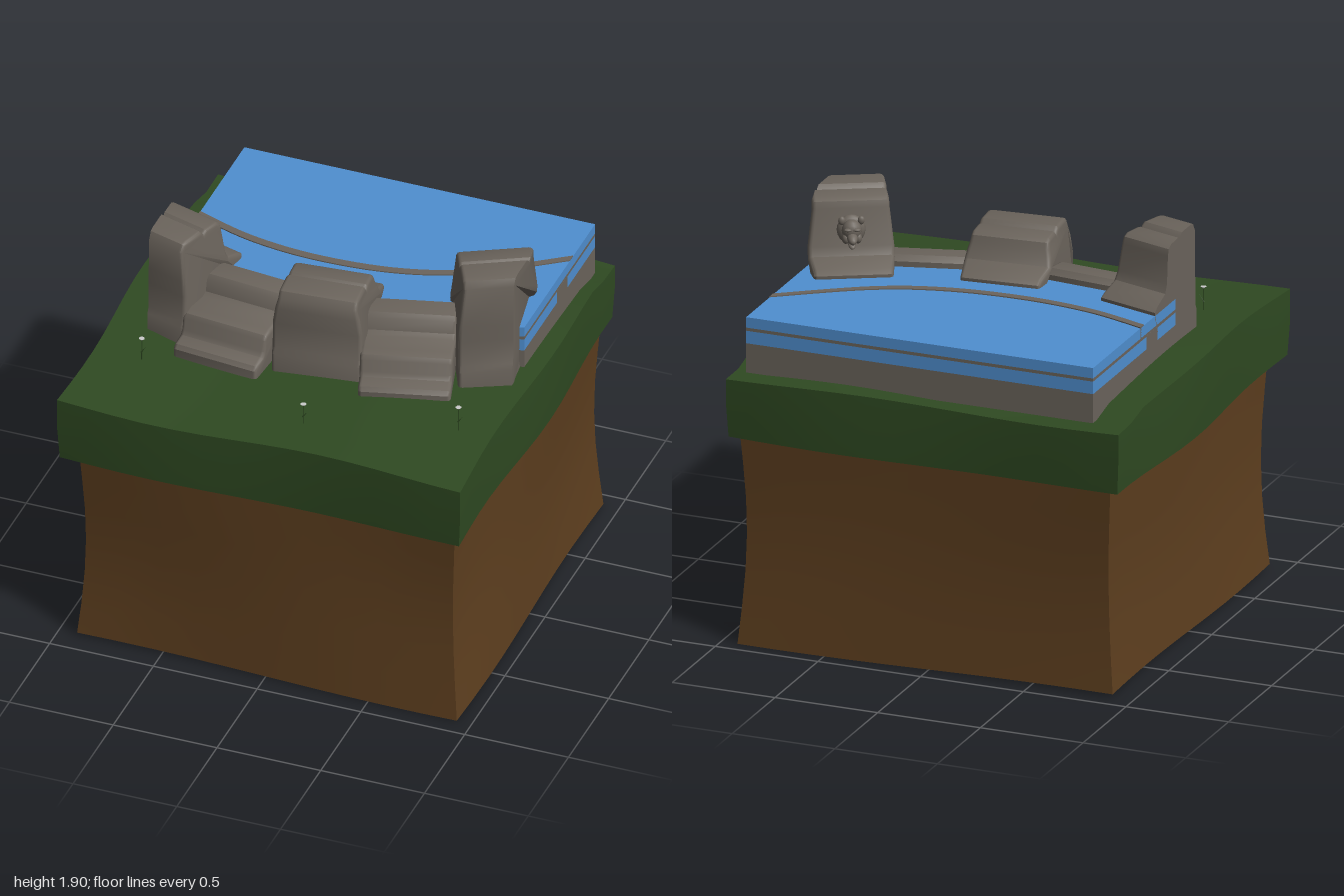
import * as THREE from 'three';
import { toCreasedNormals } from 'three/addons/utils/BufferGeometryUtils.js';

const mat = (color) => new THREE.MeshStandardMaterial({ color });
const stone = mat(0x6b645c), water = mat(0x4f8fd0), grass = mat(0x2f4a22), dirt = mat(0x5e3f1f);
const LEFT = -0.79, RIGHT = 0.9, BACK = -0.88;

function add(parent, name, geometry, material) {
  const mesh = new THREE.Mesh(geometry, material);
  mesh.name = name;
  parent.add(mesh);
  return mesh;
}

// Moves every vertex by a rule, then rebuilds the normals
function reshape(geometry, rule, crease = 0.5) {
  const p = geometry.attributes.position, v = new THREE.Vector3();
  for (let i = 0; i < p.count; i++) {
    rule(v.fromBufferAttribute(p, i));
    p.setXYZ(i, v.x, v.y, v.z);
  }
  return toCreasedNormals(geometry, crease);
}

// Prism over a ground outline of [x, z] points, between two heights
function slab(outline, y0, y1) {
  const shape = new THREE.Shape(outline.map(([x, z]) => new THREE.Vector2(x, -z)));
  const g = new THREE.ExtrudeGeometry(shape, { depth: y1 - y0, bevelEnabled: false });
  return g.rotateX(-Math.PI / 2).translate(0, y0, 0);
}

// Strip that follows the curved lip of the pool
const lip = new THREE.SplineCurve([[-0.79, -0.31], [-0.5, -0.215], [-0.17, -0.178], [0.2, -0.21], [0.52, -0.325], [0.9, -0.585]]
  .map(([x, z]) => new THREE.Vector2(x, z)));
function strip(back, front, y0, y1) {
  const pts = lip.getPoints(36);
  const edge = (d) => pts.map((p) => [p.x, p.y + d]);
  return slab([...edge(front), ...edge(back).reverse()], y0, y1);
}

// Tower cross-section as [z, y]: parapet, rear half and sloping skirt
const towerProfile = (h) => [
  [0.185, 1.3], [0.185, 1.42], [0.172, 1.45], [0.17, 1.58], [0.17, 1.66], [0.165, h - 0.04], [0.145, h - 0.006], [0.12, h],
  [0.02, h], [0.005, h - 0.012], [-0.005, h - 0.025], [-0.02, h - 0.012], [-0.1, h - 0.015], [-0.125, h - 0.03], [-0.135, h - 0.06],
  [-0.145, 1.66], [-0.165, 1.62], [-0.25, 1.59], [-0.28, 1.57], [-0.28, 1.54], [-0.26, 1.5], [-0.2, 1.3],
];

// Low wall cross-section: foot, front ledge and raised rear walk
const lowProfile = [
  [0.25, 1.3], [0.25, 1.365], [0.235, 1.385], [0.18, 1.4], [0.165, 1.42], [0.155, 1.475], [0.14, 1.495], [0.1, 1.505],
  [0.01, 1.51], [-0.015, 1.525], [-0.03, 1.58], [-0.05, 1.6], [-0.15, 1.605], [-0.175, 1.58], [-0.18, 1.3],
];

// One wall section, cut off flush at the sides of the pool
function wallSection(parent, name, { x, z, turn, width, height }) {
  const outline = height ? towerProfile(height) : lowProfile;
  const b = 0.018;
  const shape = new THREE.Shape(outline.map(([pz, py]) => new THREE.Vector2(pz, py)));
  const g = new THREE.ExtrudeGeometry(shape, {
    depth: width - 2 * b, bevelThickness: b, bevelSize: b, bevelOffset: -b, bevelSegments: 3, steps: 1,
  });
  g.translate(0, 0, -width / 2 + b).rotateY(-Math.PI / 2).scale(-1, 1, 1);
  // mirroring is undone by turning half way round, so the faces stay outward
  g.scale(-1, 1, 1);
  const c = Math.cos(turn), s = Math.sin(turn);
  const section = reshape(g, (v) => {
    const side = v.x;
    if (height) {
      const flare = 1 - THREE.MathUtils.smoothstep(v.y, 1.6, height - 0.03);
      v.x += Math.sign(side) * 0.025 * flare;
      v.x *= 1 - 0.1 * THREE.MathUtils.smoothstep(-v.z, 0.1, 0.28);
    }
    v.x = Math.min(Math.max(v.x, (LEFT - x - v.z * s) / c), (RIGHT - x - v.z * s) / c);
  }, 0.6);
  const group = new THREE.Group();
  group.name = name;
  group.position.set(x, 0, z);
  group.rotation.y = turn;
  parent.add(group);
  add(group, name + 'Stone', section, stone);
  return group;
}

// Carved animal head on the water side of the tall tower
function carvedHead(parent) {
  const head = new THREE.Group();
  head.name = 'carvedHead';
  head.position.set(0, 1.74, -0.14);
  parent.add(head);
  const lump = (name, x, y, z, rx, ry, rz, tilt = 0) => {
    const m = add(head, name, new THREE.SphereGeometry(1, 14, 10), stone);
    m.position.set(x, y, z);
    m.scale.set(rx, ry, rz);
    m.rotation.x = tilt;
  };
  lump('mane', 0, 0, 0, 0.066, 0.07, 0.032);
  lump('skull', 0, 0.005, -0.025, 0.045, 0.05, 0.04);
  lump('muzzle', 0, -0.022, -0.06, 0.024, 0.022, 0.042, -0.35);
  lump('jaw', 0, -0.055, -0.04, 0.018, 0.012, 0.034, -0.5);
  for (const side of [-1, 1]) {
    lump('ear', side * 0.044, 0.048, -0.018, 0.016, 0.02, 0.012);
    lump('brow', side * 0.02, 0.016, -0.058, 0.018, 0.008, 0.012);
    lump('cheek', side * 0.028, -0.03, -0.034, 0.018, 0.026, 0.022);
  }
}

export function createModel() {
  const model = new THREE.Group();
  model.name = 'fountainOnGround';

  // Soil block with slightly hollow, uneven sides
  add(model, 'soilBlock', reshape(new THREE.BoxGeometry(1.83, 1.02, 1.83, 10, 6, 10).translate(0, 0.52, 0), (v) => {
    const { x, y, z } = v;
    const pinch = 1 - 0.025 * Math.sin(Math.PI * Math.min(y, 1));
    v.x = x * pinch + 0.01 + 0.012 * Math.sin(3.1 * z + 2 * y) * Math.sign(x);
    v.z = z * pinch - 0.01 + 0.012 * Math.sin(2.7 * x + 3 * y) * Math.sign(z);
    if (y < 0.1) v.y = 0.01 - 0.008 * Math.sin(1.6 * x);
  }), dirt);

  // Turf with wavy rims
  add(model, 'turf', reshape(new THREE.BoxGeometry(1.94, 0.34, 1.95, 14, 2, 14).translate(0, 1.17, 0), (v) => {
    const { x, y, z } = v;
    v.x += Math.sign(x) * (Math.abs(x) > 0.9 ? 0.014 * Math.cos(4.5 * z + 0.6) : 0);
    v.z += Math.sign(z) * (Math.abs(z) > 0.9 ? 0.014 * Math.cos(4 * x + 2.4 * Math.sign(z)) : 0);
    const t = (y - 1) / 0.34;
    v.y += t > 0.9 ? 0.016 * Math.cos(2.8 * z) - 0.012 + 0.01 * Math.sin(4 * x) + (z < -0.8 ? -0.025 : 0)
      : 0.014 * Math.cos(3 * x) * Math.cos(2 * z);
    if (t < 0.1) { v.x *= 0.99; v.z *= 0.99; }
  }), grass);

  // Pool: stone bed, two depths of water with a thin ledge between
  const outline = [[LEFT, 0.08], [-0.5, 0.14], [-0.1, 0.16], [0.25, 0.12], [0.6, 0.08], [RIGHT, 0], [RIGHT, BACK], [LEFT, BACK]];
  add(model, 'poolBed', slab(outline, 1.29, 1.43), stone);
  add(model, 'lowerWater', slab(outline, 1.43, 1.49), water);
  add(model, 'poolLedge', slab(outline, 1.49, 1.505), stone);
  add(model, 'upperWater', slab(outline, 1.505, 1.555), water);
  add(model, 'poolLip', strip(-0.02, 0.02, 1.5, 1.56), stone);
  add(model, 'lipFooting', strip(0.05, 0.18, 1.43, 1.495).scale(1.001, 1, 1), stone);

  // Curved wall: three towers joined by two low stretches
  wallSection(model, 'leftLowWall', { x: 0.42, z: 0.19, turn: 0.27, width: 0.42 });
  wallSection(model, 'rightLowWall', { x: -0.38, z: 0.24, turn: -0.1, width: 0.42 });
  wallSection(model, 'rightTower', { x: -0.73, z: 0.15, turn: -0.29, width: 0.34, height: 1.85 });
  wallSection(model, 'middleTower', { x: 0.035, z: 0.22, turn: 0.09, width: 0.37, height: 1.75 });
  carvedHead(wallSection(model, 'leftTower', { x: 0.775, z: 0.01, turn: 0.49, width: 0.35, height: 1.9 }));

  // Small flowers in the turf
  for (const [x, z, h] of [[-0.73, 0.55, 0.11], [0.8, 0.56, 0.12], [0.13, 0.76, 0.1]]) {
    const flower = new THREE.Group();
    flower.name = 'flower';
    flower.position.set(x, 1.33, z);
    model.add(flower);
    add(flower, 'stem', new THREE.CylinderGeometry(0.002, 0.003, h, 6).translate(0, h / 2, 0), grass);
    add(flower, 'bloom', new THREE.CylinderGeometry(0.014, 0.005, 0.008, 8).translate(0, h, 0), mat(0xcccccc));
    const leaf = add(flower, 'leaf', new THREE.ConeGeometry(0.004, 0.04, 5), grass);
    leaf.position.set(0.008, h * 0.5, 0);
    leaf.rotation.z = -0.6;
  }
  return model;
}
